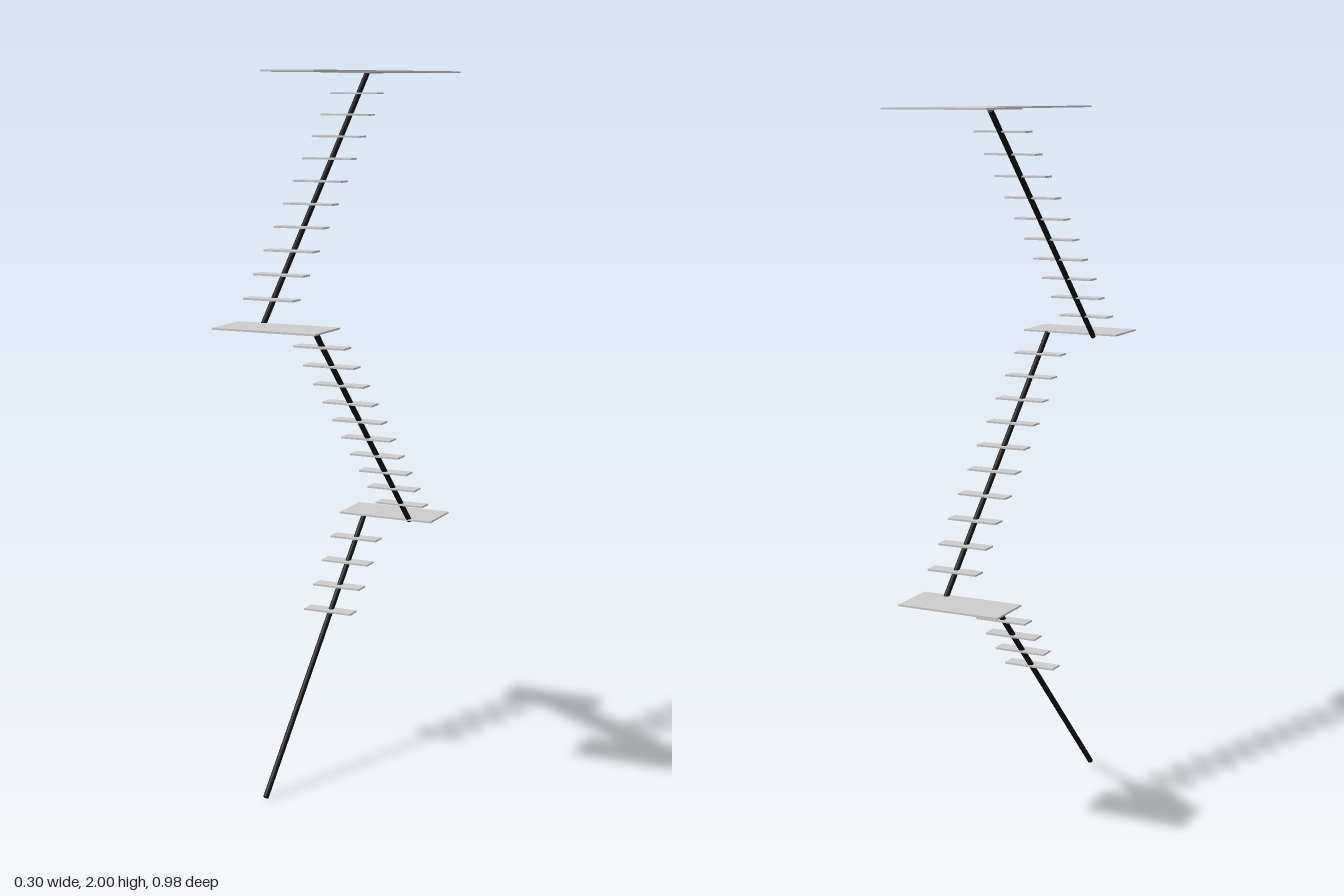
import * as THREE from 'three';

const THICK = 0.005, RISE = 0.06, RUN = 0.06;

export function createModel() {
  const group = new THREE.Group();
  const grey = new THREE.MeshStandardMaterial({ color: 0xcccccc });
  const black = new THREE.MeshStandardMaterial({ color: 0x111111 });

  // Flat slab given by its x and z ranges and its top height
  function slab(name, x0, x1, z0, z1, top) {
    const mesh = new THREE.Mesh(new THREE.BoxGeometry(x1 - x0, THICK, z1 - z0), grey);
    mesh.position.set((x0 + x1) / 2, top - THICK / 2, (z0 + z1) / 2);
    mesh.name = name;
    group.add(mesh);
  }

  // One flight: a round sloping stringer with treads on top
  function flight(name, x, from, to, count, firstY, firstZ, dir) {
    const a = new THREE.Vector3(x, from[0], from[1]);
    const b = new THREE.Vector3(x, to[0], to[1]);
    const beam = new THREE.Mesh(new THREE.CylinderGeometry(0.0078, 0.0078, a.distanceTo(b), 16), black);
    beam.position.copy(a).lerp(b, 0.5);
    beam.quaternion.setFromUnitVectors(new THREE.Vector3(0, 1, 0), b.clone().sub(a).normalize());
    beam.name = name + 'Stringer';
    group.add(beam);
    for (let i = 0; i < count; i++) {
      const z = firstZ + dir * RUN * i;
      slab(name + 'Tread', x - 0.075, x + 0.075, z - 0.0225, z + 0.0225, firstY + RISE * i);
    }
  }

  // Flights, with [y, z] ends of each stringer
  flight('lowerFlight', -0.075, [0.006, 0.349], [0.674, -0.305], 4, 0.44, -0.0675, -1);
  flight('middleFlight', 0.075, [0.674, -0.305], [1.333, 0.345], 10, 0.74, -0.2475, 1);
  flight('upperFlight', -0.075, [1.331, 0.345], [1.993, -0.319], 10, 1.4, 0.2925, -1);

  // Landings between flights
  slab('lowerLanding', -0.15, 0.15, -0.435, -0.29, 0.68);
  slab('upperLanding', -0.15, 0.15, 0.34, 0.488, 1.34);

  // L-shaped top floor, drawn in plan (shape y becomes -z)
  const plan = new THREE.Shape([
    [-0.15, 0.49], [-0.15, 0.285], [0, 0.285], [0, -0.49], [0.15, -0.49], [0.15, 0.49],
  ].map(([x, y]) => new THREE.Vector2(x, y)));
  const floorGeo = new THREE.ExtrudeGeometry(plan, { depth: THICK, bevelEnabled: false });
  floorGeo.rotateX(-Math.PI / 2);
  const floor = new THREE.Mesh(floorGeo, grey);
  floor.position.y = 2 - THICK;
  floor.name = 'topFloor';
  group.add(floor);

  return group;
}
